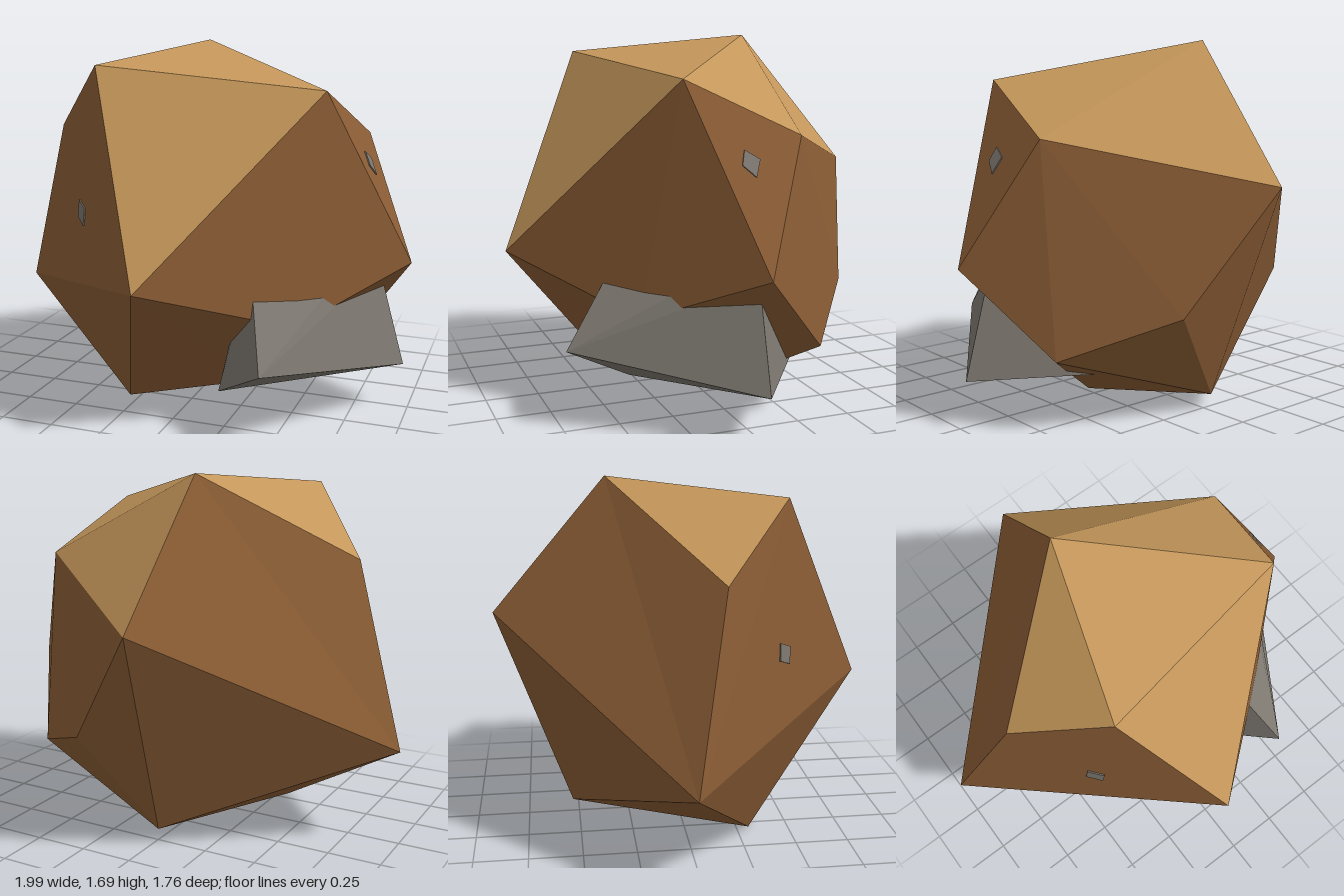
import * as THREE from 'three';
import { ConvexGeometry } from 'three/addons/geometries/ConvexGeometry.js';

const mat = (name, color) => {
  const m = new THREE.MeshStandardMaterial({ color });
  m.name = name;
  return m;
};

// Corners of the boulder
const P = {
  A: [-0.12, 1.69, -0.35], B: [-0.38, 1.61, 0.45], C: [0.63, 1.51, 0.25],
  D: [-0.03, 0.70, 0.88], E: [-1.0, 0.46, -0.04], F: [0.99, 0.71, 0],
  G: [-0.72, 1.29, 0.12], H: [0.73, 1.27, -0.25], I: [-0.08, 1.06, -0.88],
  J: [-0.30, 0, 0.31], K: [0.30, 0.04, -0.02], L: [-0.02, 0.07, -0.53],
  M: [0.31, 0.51, -0.69], N: [0.74, 0.33, -0.36], P: [0.55, 0.48, 0.42],
};
const V = Object.fromEntries(Object.entries(P).map(([k, p]) => [k, new THREE.Vector3(...p)]));
const centre = new THREE.Vector3(0, 0.8, 0);

// Plane through three named corners, facing away from the boulder's centre
function facePlane(face) {
  const [a, b, c] = [...face].map((k) => V[k]);
  const plane = new THREE.Plane().setFromCoplanarPoints(a, b, c);
  return plane.distanceToPoint(centre) > 0 ? plane.negate() : plane;
}

// Faceted shell from three-letter faces, each wound outwards
function shell(faces) {
  const pts = [];
  for (const face of faces.split(' ')) {
    const [a, b, c] = [...face].map((k) => V[k]);
    const n = b.clone().sub(a).cross(c.clone().sub(a));
    pts.push(...(n.dot(a.clone().sub(centre)) > 0 ? [a, b, c] : [a, c, b]));
  }
  const geo = new THREE.BufferGeometry().setFromPoints(pts);
  geo.computeVertexNormals();
  return geo;
}

// Small four-sided chip laid on a boulder face, seen along the given axis
function chip(face, axis, outline) {
  const plane = facePlane(face);
  const dir = axis === 'z' ? new THREE.Vector3(0, 0, -1) : new THREE.Vector3(-1, 0, 0);
  const pts = outline.map(([h, y]) => {
    const start = axis === 'z' ? new THREE.Vector3(h, y, 3) : new THREE.Vector3(3, y, h);
    const hit = new THREE.Ray(start, dir).intersectPlane(plane, new THREE.Vector3());
    return hit.addScaledVector(plane.normal, 0.006);
  });
  const base = pts.map((p) => p.clone().addScaledVector(plane.normal, -0.009));
  return new ConvexGeometry([...pts, ...base]);
}

export function createModel() {
  const group = new THREE.Group();
  const tan = mat('tan', 0xc4965a);
  const brown = mat('brown', 0x8b5d35);
  const grey = mat('grey', 0x7d7870);
  for (const m of [tan, brown, grey]) m.flatShading = true;

  const add = (name, geo, material) => {
    const mesh = new THREE.Mesh(geo, material);
    mesh.name = name;
    group.add(mesh);
  };

  // Boulder: pale upper faces and brown body
  add('boulderTop', shell('ABC ACH AHI ABG BDC'), tan);
  add('boulderBody', shell(
    'AGE AEI BGE BED CDP CPF CFH HFN HNM HMI IML ' +
    'MNL NKL FKN PKF DJK DKP EJD ILE LJE JLK'), brown);

  // Stone lodged in the lower front side, partly buried
  add('sideStone', new ConvexGeometry([
    [0.48, 0.35, 0.73], [0.17, 0.10, 0.35], [0.97, 0.21, -0.01],
    [0.35, 0.75, 0.44], [0.72, 0.70, 0.15], [0.84, 0.68, -0.01],
    [0.40, 0.23, -0.41], [0.27, 0.55, 0.35],
  ].map((p) => new THREE.Vector3(...p))), grey);

  // Stone chips on the surface
  add('frontChip', chip('BED', 'z',
    [[-0.50, 0.98], [-0.445, 0.95], [-0.455, 0.87], [-0.51, 0.90]]), grey);
  add('sideChip', chip('CFH', 'x',
    [[0.03, 1.22], [-0.035, 1.18], [-0.005, 1.11], [0.05, 1.16]]), grey);

  return group;
}
